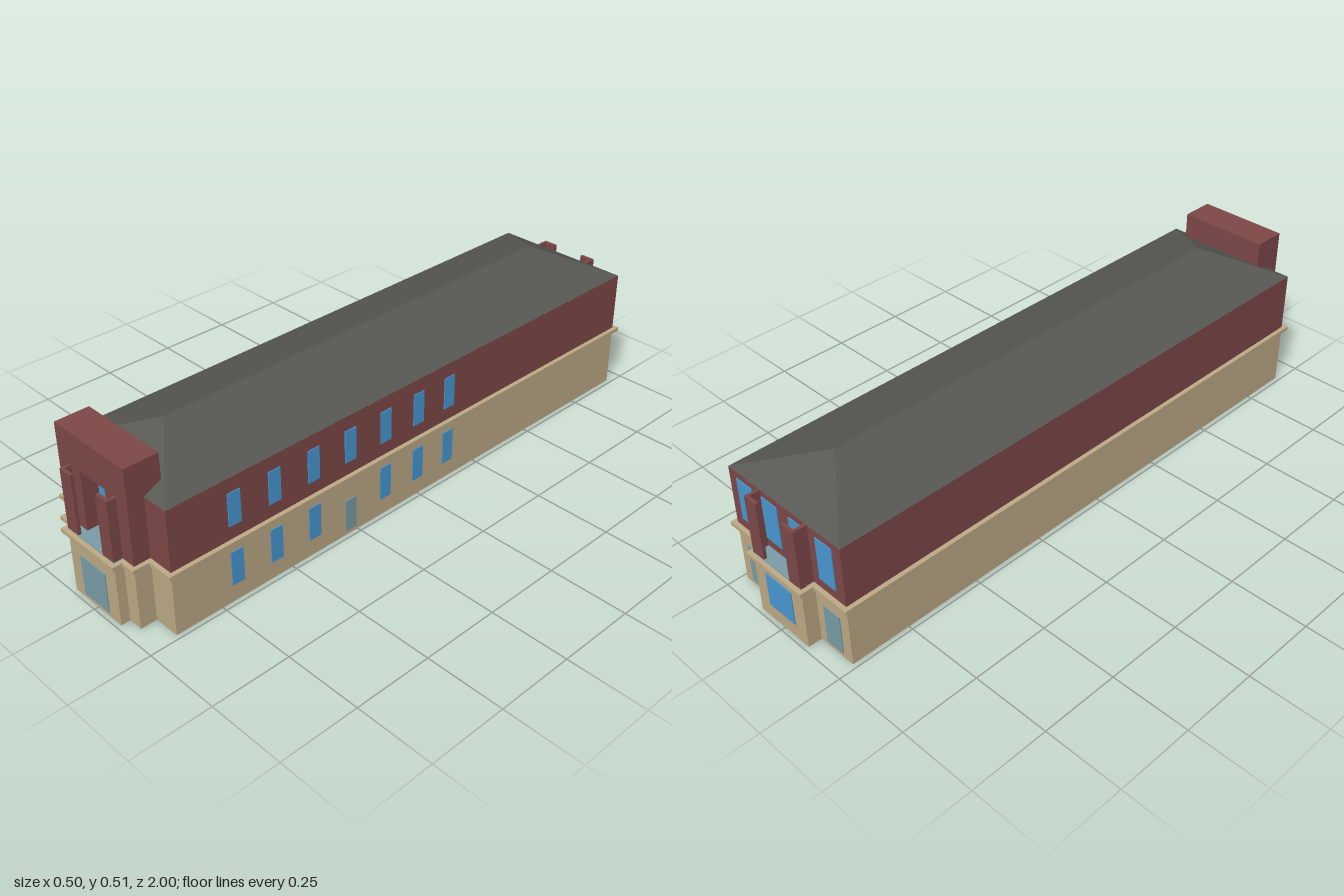
import * as THREE from 'three';

const mat = (name, color) => {
  const m = new THREE.MeshStandardMaterial({ color });
  m.name = name;
  return m;
};

export function createModel() {
  const group = new THREE.Group();
  const stone = mat('sandstone', 0xbda985);
  const brick = mat('red brick', 0x7e4848);
  const blue = mat('blue window', 0x4898d2);
  const glass = mat('pale glass', 0x799da7);
  const slate = mat('grey slate', 0x575852);

  const add = (name, geo, material) => {
    const mesh = new THREE.Mesh(geo, material);
    mesh.name = name;
    group.add(mesh);
    return mesh;
  };
  // Box given by its two opposite corners
  const box = (name, material, x0, x1, y0, y1, z0, z1) => {
    const geo = new THREE.BoxGeometry(x1 - x0, y1 - y0, z1 - z0);
    geo.translate((x0 + x1) / 2, (y0 + y1) / 2, (z0 + z1) / 2);
    return add(name, geo, material);
  };

  // Main dimensions
  const W = 0.235, TOWER = 0.15, BAY = 0.103, DOOR = 0.055;
  const FRONT = 0.905, TOWER_Z = 0.957, BAY_Z = 0.986, BACK = -0.943;
  const LEDGE0 = 0.195, LEDGE1 = 0.207, EAVES = 0.4;

  // Stepped floor plan, grown outward by d
  const plan = (d) => {
    const half = [
      [BAY + d, BAY_Z + d], [BAY + d, TOWER_Z + d], [TOWER + d, TOWER_Z + d],
      [TOWER + d, FRONT + d], [W + d, FRONT + d], [W + d, BACK - d],
      [BAY + d, BACK - d], [BAY + d, -BAY_Z - d],
    ];
    const all = [...half, ...half.slice().reverse().map(([x, z]) => [-x, z])];
    return new THREE.Shape(all.map(([x, z]) => new THREE.Vector2(x, -z)));
  };
  const slab = (name, d, y0, y1) => {
    const geo = new THREE.ExtrudeGeometry(plan(d), { depth: y1 - y0, bevelEnabled: false });
    geo.rotateX(-Math.PI / 2).translate(0, y0, 0);
    add(name, geo, stone);
  };
  slab('lowerStorey', 0, 0, LEDGE0);
  slab('ledge', 0.014, LEDGE0, LEDGE1);

  // Upper storey
  box('upperStorey', brick, -W, W, LEDGE1, EAVES, BACK, FRONT);

  // Front tower with an open recess for the balcony
  const arch = new THREE.Shape([
    [-TOWER, LEDGE1], [-DOOR, LEDGE1], [-DOOR, EAVES], [DOOR, EAVES],
    [DOOR, LEDGE1], [TOWER, LEDGE1], [TOWER, 0.507], [-TOWER, 0.507],
  ].map(([x, y]) => new THREE.Vector2(x, y)));
  const towerGeo = new THREE.ExtrudeGeometry(arch, { depth: TOWER_Z - FRONT, bevelEnabled: false });
  add('towerFront', towerGeo.translate(0, 0, FRONT), brick);
  box('towerRear', brick, -TOWER, TOWER, EAVES, 0.507, 0.85, FRONT);

  // Hipped roof
  const eave = [[-W, FRONT], [W, FRONT], [W, BACK], [-W, BACK]].map(([x, z]) => [x, EAVES, z]);
  const [a, b, c, d] = eave;
  const r0 = [0, 0.487, 0.723], r1 = [0, 0.487, -0.763];
  const roof = new THREE.BufferGeometry();
  const corners = [a, b, r0, b, c, r1, b, r1, r0, c, d, r1, d, a, r0, d, r0, r1];
  roof.setAttribute('position', new THREE.Float32BufferAttribute(corners.flat(), 3));
  roof.computeVertexNormals();
  add('roof', roof, slate);

  // Balconies at both ends: glazed floor and L-shaped corner walls
  const T = 0.01;
  for (const [end, inner, s] of [['front', TOWER_Z, 1], ['back', BACK, -1]]) {
    const span = (p, q) => [Math.min(p, q), Math.max(p, q)];
    const floorStart = s > 0 ? FRONT : BACK;
    const floorHalf = s > 0 ? DOOR : BAY;
    box(end + 'BalconyFloor', glass, -BAY, BAY, LEDGE1, LEDGE1 + 0.003, ...span(inner, s * BAY_Z));
    if (s > 0) {
      box('recessFloor', glass, -floorHalf, floorHalf, LEDGE1, LEDGE1 + 0.003, floorStart, inner);
    }
    for (const m of [-1, 1]) {
      box(end + 'BalconyCorner', brick, ...span(m * DOOR, m * BAY), LEDGE1, EAVES,
        ...span(s * (BAY_Z - T), s * BAY_Z));
      box(end + 'BalconySide', brick, ...span(m * (BAY - T), m * BAY), LEDGE1, EAVES,
        ...span(inner, s * (BAY_Z - T)));
    }
  }

  // Front openings
  const P = 0.003;
  box('frontDoor', glass, -DOOR, DOOR, 0.015, 0.145, BAY_Z, BAY_Z + P);
  box('balconyWindow', blue, -DOOR, DOOR, 0.24, 0.38, FRONT, FRONT + P);

  // Back openings
  box('backBayWindow', blue, -DOOR, DOOR, 0.05, 0.165, -BAY_Z - P, -BAY_Z);
  for (const m of [-1, 1]) {
    for (const x of [0.058, 0.167]) {
      box('backWindow', blue, m * x - 0.033, m * x + 0.033, 0.24, 0.38, BACK - P, BACK);
    }
    box('backDoor', glass, m * 0.167 - 0.033, m * 0.167 + 0.033, 0.015, 0.145, BACK - P, BACK);
  }

  // Windows along one long side, with a door below the fourth
  [0.693, 0.555, 0.415, 0.277, 0.138, 0.003, -0.127].forEach((z, i) => {
    const z0 = z - 0.021, z1 = z + 0.021;
    box('upperSideWindow', blue, W, W + P, 0.25, 0.355, z0, z1);
    if (i === 3) box('sideDoor', glass, W, W + P, 0.015, 0.12, z0, z1);
    else box('lowerSideWindow', blue, W, W + P, 0.056, 0.165, z0, z1);
  });

  return group;
}
